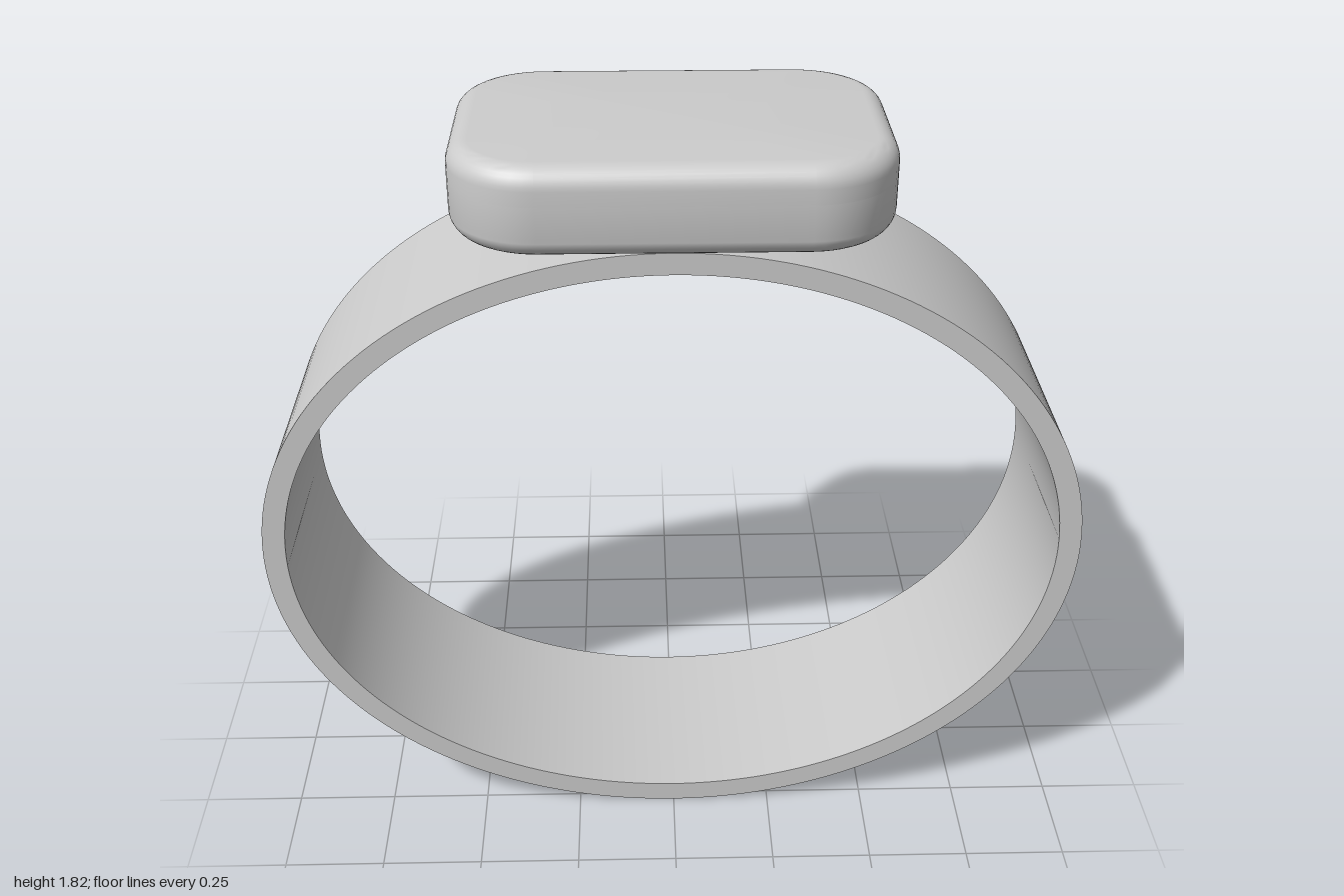
import * as THREE from 'three';
import { toCreasedNormals } from 'three/addons/utils/BufferGeometryUtils.js';

const HALF_X = 0.505, HALF_Z = 0.345, CORNER = 0.205, ARC = 12;
const BOTTOM = 1.61, SEAM = 1.735, TOP = 1.82, ROUND = 0.05;

// Closed rounded-rectangle solid lofted through [inset, y] rings, bottom to top
function loft(profile) {
  const pos = [], index = [], n = 4 * (ARC + 1);
  for (const [inset, y] of profile) {
    const r = CORNER - inset;
    for (let c = 0; c < 4; c++) {
      const sx = c === 0 || c === 3 ? 1 : -1, sz = c < 2 ? 1 : -1;
      for (let i = 0; i <= ARC; i++) {
        const a = (c + i / ARC) * Math.PI / 2;
        pos.push(sx * (HALF_X - CORNER) + r * Math.cos(a), y, sz * (HALF_Z - CORNER) + r * Math.sin(a));
      }
    }
  }
  const last = profile.length - 1, base = pos.length / 3;
  pos.push(0, profile[0][1], 0, 0, profile[last][1], 0);
  for (let i = 0; i < n; i++) {
    const j = (i + 1) % n;
    for (let k = 0; k < last; k++) {
      const a = k * n + i, b = k * n + j;
      index.push(a, a + n, b, b, a + n, b + n);
    }
    index.push(base, i, j, base + 1, last * n + j, last * n + i);
  }
  const geo = new THREE.BufferGeometry();
  geo.setAttribute('position', new THREE.Float32BufferAttribute(pos, 3));
  geo.setIndex(index);
  return toCreasedNormals(geo, 0.6);
}

export function createModel() {
  const group = new THREE.Group();
  const grey = new THREE.MeshStandardMaterial({ color: 0xcccccc });
  const add = (name, geo, x = 0, y = 0, z = 0) => {
    const mesh = new THREE.Mesh(geo, grey);
    mesh.name = name;
    mesh.position.set(x, y, z);
    group.add(mesh);
    return mesh;
  };

  // Oval wrist band
  const oval = new THREE.Shape().absellipse(0, 0, 1, 0.798, 0, Math.PI * 2);
  oval.holes.push(new THREE.Path().absellipse(0, 0, 0.945, 0.745, 0, Math.PI * 2, true));
  const band = new THREE.ExtrudeGeometry(oval, { depth: 0.55, bevelEnabled: false, curveSegments: 96 });
  add('band', toCreasedNormals(band, 0.6), 0, 0.798, -0.275);

  // Case and cover meeting at the seam, each with a rounded outer edge
  const lower = [], upper = [];
  for (let i = 0; i <= 8; i++) {
    const a = i / 8 * Math.PI / 2;
    lower.push([ROUND * (1 - Math.sin(a)), BOTTOM + ROUND * (1 - Math.cos(a))]);
    upper.push([ROUND * (1 - Math.cos(a)), TOP - ROUND * (1 - Math.sin(a))]);
  }
  add('case', loft([...lower, [0, SEAM]]));
  add('cover', loft([[0, SEAM], ...upper]));

  // Shallow sensor dome under the case
  const dome = [[0, -0.02], [0.05, -0.019], [0.1, -0.014], [0.14, -0.008], [0.155, 0], [0.155, 0.01]]
    .map(([r, y]) => new THREE.Vector2(r, y));
  add('sensor', new THREE.LatheGeometry(dome, 48), 0, BOTTOM, 0);

  // Band mounting pins
  for (const side of [-1, 1])
    add(side > 0 ? 'leftPin' : 'rightPin', new THREE.CylinderGeometry(0.046, 0.046, 0.05, 32), side * 0.385, 1.597, 0);

  return group;
}
